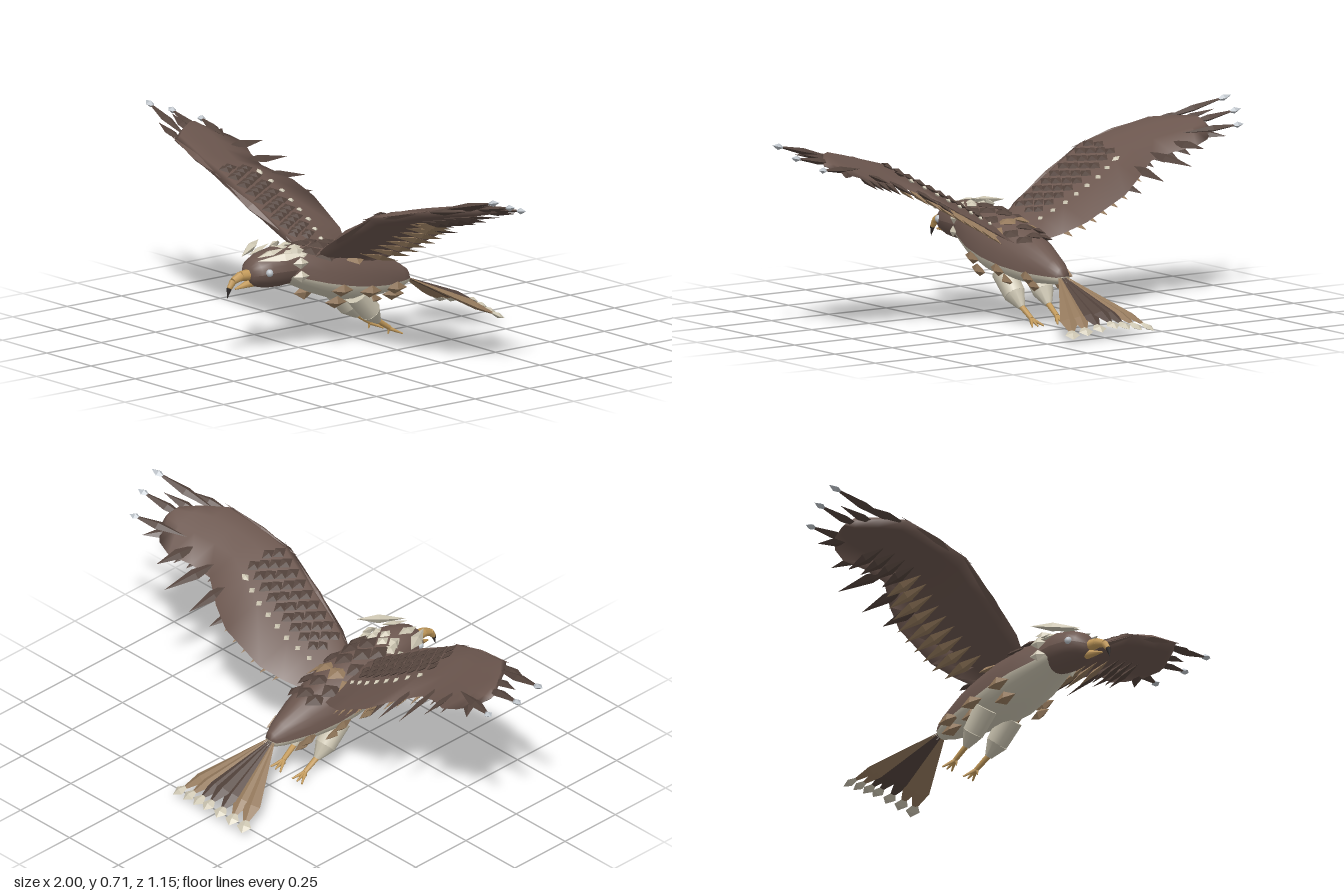
import * as THREE from 'three';

const mat = (name, color, side = THREE.FrontSide) => {
  const m = new THREE.MeshStandardMaterial({ color, side });
  m.name = name;
  return m;
};
const V = (x, y, z) => new THREE.Vector3(x, y, z);

export function createModel() {
  const root = new THREE.Group();
  root.name = 'flyingEagle';
  const brown = mat('plumageBrown', 0x6b564e, THREE.DoubleSide);
  const dark = mat('darkFeather', 0x54443d);
  const tan = mat('tanFeather', 0x94795c);
  const cream = mat('creamFeather', 0xcdc6b2, THREE.DoubleSide);
  const gold = mat('beakGold', 0xc59c5c);
  const silver = mat('silverTip', 0xbcc2c8);
  const black = mat('beakTip', 0x302b2a);

  const part = (name, parent = root) => {
    const g = new THREE.Group();
    g.name = name;
    parent.add(g);
    return g;
  };
  const add = (parent, name, geo, m) => {
    const mesh = new THREE.Mesh(geo, m);
    mesh.name = name;
    parent.add(mesh);
    return mesh;
  };

  // Smooth skin over rows of points
  function skin(rows, closed, flip) {
    const n = rows[0].length, idx = [];
    for (let i = 0; i < rows.length - 1; i++) {
      for (let j = 0; j < (closed ? n : n - 1); j++) {
        const k = (j + 1) % n;
        const a = i * n + j, b = a + n, d = i * n + k, c = d + n;
        if (flip) idx.push(a, c, d, a, b, c);
        else idx.push(a, d, c, a, c, b);
      }
    }
    const geo = new THREE.BufferGeometry().setFromPoints(rows.flat());
    geo.setIndex(idx);
    geo.computeVertexNormals();
    return geo;
  }

  // Diamond feather from a to b; w = half width, t = half thickness, n = facing
  function feather(parent, name, a, b, w, t, n, m, shift = 0) {
    const geo = new THREE.OctahedronGeometry(1);
    const p = geo.attributes.position;
    for (let i = 0; i < p.count; i++) if (Math.abs(p.getZ(i)) < 0.5) p.setZ(i, shift);
    geo.computeVertexNormals();
    const f = b.clone().sub(a), side = n.clone().cross(f).normalize();
    const up = f.clone().cross(side).normalize();
    const mx = new THREE.Matrix4().makeBasis(side.multiplyScalar(w), up.multiplyScalar(t), f.multiplyScalar(0.5));
    mx.setPosition(a.clone().add(b).multiplyScalar(0.5));
    return add(parent, name, geo.applyMatrix4(mx), m);
  }

  // Tapered limb between two points
  function limb(parent, name, a, b, r1, r2, m, sides = 7) {
    const d = b.clone().sub(a);
    const mesh = add(parent, name, new THREE.CylinderGeometry(r2, r1, d.length(), sides), m);
    mesh.position.copy(a).addScaledVector(d, 0.5);
    mesh.quaternion.setFromUnitVectors(V(0, 1, 0), d.normalize());
  }

  // Rings: z, colour line height, top, bottom, half width
  function halfShell(rings, from) {
    return skin(rings.map(([z, mid, top, bot, w]) => Array.from({ length: 11 }, (_, i) => {
      const a = from + Math.PI * i / 10, s = Math.sin(a);
      return V(w * Math.cos(a), mid + s * (s > 0 ? top - mid : mid - bot), z);
    })), false);
  }
  const bodyRings = [
    [-0.246, 0.19, 0.191, 0.189, 0.002], [-0.24, 0.188, 0.222, 0.165, 0.028], [-0.2, 0.19, 0.25, 0.157, 0.05],
    [-0.1, 0.195, 0.302, 0.15, 0.085], [0, 0.208, 0.337, 0.147, 0.108], [0.1, 0.228, 0.367, 0.16, 0.12],
    [0.2, 0.252, 0.385, 0.198, 0.115], [0.28, 0.275, 0.385, 0.236, 0.092], [0.34, 0.295, 0.38, 0.26, 0.075]];
  const headRings = [
    [0.29, 0.31, 0.375, 0.252, 0.078], [0.36, 0.315, 0.39, 0.247, 0.083], [0.42, 0.315, 0.378, 0.25, 0.076],
    [0.46, 0.31, 0.36, 0.26, 0.06], [0.482, 0.305, 0.337, 0.275, 0.036], [0.486, 0.305, 0.306, 0.304, 0.002]];
  add(root, 'back', halfShell(bodyRings, 0), brown);
  add(root, 'belly', halfShell(bodyRings, Math.PI), cream);
  add(root, 'headTop', halfShell(headRings, 0), brown);
  add(root, 'headUnderside', halfShell(headRings, Math.PI), brown);

  // Hooked beak, tapering along its curve
  const beak = part('beak');
  const hook = [[0.47, 0.305, 0.028], [0.515, 0.305, 0.023], [0.55, 0.292, 0.017], [0.568, 0.268, 0.012], [0.577, 0.233, 0.001]];
  for (let i = 0; i < 4; i++) {
    const [z, y, r] = hook[i], [z2, y2, r2] = hook[i + 1];
    limb(beak, 'upperBeak', V(0, y, z), V(0, y2, z2), r * 0.8, r2 * 0.8, i < 3 ? gold : black);
  }
  limb(beak, 'lowerBeak', V(0, 0.276, 0.465), V(0, 0.262, 0.54), 0.018, 0.003, gold);

  // Overlapping diamonds along the back and nape
  const mantle = part('backFeathers');
  const rows = [[0.33, 0.385, [0, 0.045], cream], [0.29, 0.388, [0.025, 0.065], cream], [0.24, 0.387, [0, 0.055], dark],
    [0.185, 0.384, [0.03, 0.08], dark], [0.125, 0.375, [0, 0.06], dark], [0.06, 0.36, [0.03, 0.085], tan],
    [0, 0.341, [0, 0.06], dark], [-0.065, 0.318, [0, 0.045], dark]];
  for (const [z, y, xs, m] of rows) for (const x of xs) for (const s of x ? [-1, 1] : [1]) {
    const h = y - x * x * 5.5, l = z > 0.28 ? 0.03 : 0.05;
    feather(mantle, 'backFeather', V(s * x, h, z + l), V(s * x, h - l * 0.1, z - l),
      l * 0.68, 0.011, V(s * x * 7, 1, 0), m);
  }

  // Tail fan with pale tips
  const tail = part('tail');
  for (let i = -3; i <= 3; i++) {
    const k = Math.abs(i), m = k > 1 ? tan : dark;
    const a = V(i * 0.004, 0.193, -0.23), b = V(i * 0.056, 0.052 - k * 0.008, -0.56 + k * 0.006);
    feather(tail, 'tailFeather', a, b, 0.033, 0.012, V(0, 1, 0), m, 0.5);
    feather(tail, 'tailTip', a.clone().lerp(b, 0.86), a.clone().lerp(b, 1.05), 0.027, 0.01, V(0, 1, 0), cream, 0.25);
  }

  // Wing stations: x, leading edge z y, trailing edge z y
  const stations = [
    [0.04, 0.2, 0.33, -0.02, 0.28], [0.12, 0.235, 0.385, -0.065, 0.31], [0.2, 0.25, 0.43, -0.105, 0.35],
    [0.36, 0.275, 0.52, -0.115, 0.435], [0.44, 0.287, 0.562, -0.085, 0.485], [0.54, 0.275, 0.588, -0.02, 0.53],
    [0.62, 0.262, 0.61, -0.035, 0.555], [0.7, 0.25, 0.63, -0.07, 0.575], [0.76, 0.18, 0.637, -0.055, 0.592],
    [0.81, 0.1, 0.64, -0.01, 0.61], [0.832, 0.06, 0.632, 0.045, 0.625]];
  // Point on the wing: u runs from leading to trailing edge, h is height off its middle
  function wingAt(s, x, u, h) {
    let i = 0;
    while (i < stations.length - 2 && stations[i + 1][0] < x) i++;
    const a = stations[i], b = stations[i + 1], t = (x - a[0]) / (b[0] - a[0]);
    const [lz, ly, tz, ty] = [1, 2, 3, 4].map(k => a[k] + (b[k] - a[k]) * t);
    return V(s * x, ly + (ty - ly) * u + h, lz + (tz - lz) * u);
  }
  const section = [[1, 0], [0.6, 0.013], [0.3, 0.022], [0.08, 0.018], [0, 0], [0.12, -0.018], [0.35, -0.008], [0.7, -0.008]];

  for (const s of [1, -1]) {
    const side = s > 0 ? 'left' : 'right';
    const P = (x, y, z) => V(s * x, y, z);
    const up = P(-0.5, 1, 0);
    const wing = part(side + 'Wing');
    const shell = stations.map(([x], i) => section.map(([u, h]) =>
      wingAt(s, x, u, i === stations.length - 1 ? 0 : h)));
    add(wing, 'wingSurface', skin(shell, true, s < 0), brown);
    feather(wing, 'innerWingEdge', P(0.07, 0.36, 0.21), P(0.47, 0.575, 0.285), 0.018, 0.016, up, brown);
    feather(wing, 'outerWingEdge', P(0.4, 0.552, 0.28), P(0.73, 0.64, 0.24), 0.016, 0.014, up, brown);

    // Rows of small feathers on the upper side
    for (let r = 0; r < 4; r++) for (let i = 0; i < 9; i++) {
      const x = 0.11 + i * 0.041 + (r % 2) * 0.02, u = 0.07 + r * 0.1;
      feather(wing, 'covert', wingAt(s, x, u, 0.019), wingAt(s, x, u + 0.18, 0.026), 0.022, 0.009, up, dark);
    }
    for (let i = 0; i < 8; i++) {
      const x = 0.11 + i * 0.048;
      feather(wing, 'paleSpot', wingAt(s, x, 0.56, 0.018), wingAt(s, x, 0.64, 0.018),
        i === 7 ? 0.018 : 0.011, 0.008, up, cream);
    }
    // Tan feathers under the rear of the wing
    for (let i = 0; i < 13; i++) {
      const x = 0.14 + i * 0.044;
      feather(wing, 'underFeather', wingAt(s, x, 0.5, -0.01), wingAt(s, x + 0.015, 1, -0.028), 0.022, 0.011, up, i < 9 ? tan : dark);
    }
    // Pointed feathers behind the wing
    const spikes = [[0.38, 0.41, 0.44, -0.15], [0.47, 0.485, 0.48, -0.18], [0.56, 0.6, 0.525, -0.19],
      [0.66, 0.685, 0.575, -0.145], [0.75, 0.83, 0.6, -0.075]];
    for (const [x, tx, y, z] of spikes) {
      feather(wing, 'flightSpike', wingAt(s, x, 0.65, 0), P(tx, y, z), 0.022, 0.009, up, dark);
    }
    // Long fingers at the wing tip, three of them with silver ends
    const fingers = [[0.7, 0.63, 0.19, 1, 0.706, 0.138, 1], [0.72, 0.62, 0.09, 0.98, 0.67, 0.05, 1],
      [0.7, 0.61, 0.02, 0.925, 0.632, -0.045, 1], [0.68, 0.625, 0.23, 0.87, 0.655, 0.185, 0], [0.72, 0.625, 0.14, 0.9, 0.67, 0.1, 0]];
    for (const [x, y, z, tx, ty, tz, tipped] of fingers) {
      const a = P(x, y, z), b = P(tx, ty, tz);
      feather(wing, 'wingFinger', a, b, 0.022, 0.012, up, dark);
      if (tipped) feather(wing, 'fingerTip', a.clone().lerp(b, 0.8), b, 0.016, 0.012, up, silver);
    }

    // Brow plume, cheek feathers and eye
    const face = part(side + 'Face');
    feather(face, 'browPlume', P(0.045, 0.362, 0.475), P(0.14, 0.385, 0.32), 0.024, 0.016, P(0.5, 1, 0), cream, 0.1);
    feather(face, 'crownFeather', P(0.025, 0.368, 0.46), P(0.045, 0.392, 0.35), 0.02, 0.009, P(0.2, 1, 0), cream);
    for (const [y, x] of [[0.29, 0.088], [0.338, 0.085], [0.38, 0.058]]) {
      feather(face, 'cheekFeather', P(x - 0.004, y, 0.34), P(x + 0.012, y, 0.28), 0.022, 0.012, P(1, y > 0.36 ? 1 : 0, 0), cream);
    }
    const eye = add(face, 'eye', new THREE.SphereGeometry(0.014, 10, 8), silver);
    eye.position.copy(P(0.066, 0.317, 0.436));

    // Diamonds along the flank
    const flank = part(side + 'Flank');
    for (const [x, y, z] of [[0.12, 0.22, 0.15], [0.088, 0.172, 0.155], [0.108, 0.193, 0.01],
      [0.085, 0.157, -0.01], [0.078, 0.18, -0.13], [0.055, 0.152, -0.135]]) {
      feather(flank, 'flankFeather', P(x, y + 0.004, z + 0.045), P(x + 0.008, y - 0.004, z - 0.05), 0.025, 0.016, P(1, -0.3, 0), tan);
    }

    // Feathered thigh, shank and toes
    const leg = part(side + 'Leg');
    limb(leg, 'thigh', P(0.065, 0.18, 0.035), P(0.062, 0.105, -0.03), 0.045, 0.04, cream, 10);
    limb(leg, 'lowerThigh', P(0.062, 0.105, -0.03), P(0.058, 0.062, -0.069), 0.04, 0.013, cream, 10);
    limb(leg, 'shank', P(0.058, 0.067, -0.064), P(0.055, 0.028, -0.125), 0.011, 0.009, gold);
    for (const dx of [-0.025, 0, 0.025]) {
      limb(leg, 'toe', P(0.055, 0.028, -0.122), P(0.055 + dx, 0.006, -0.165), 0.008, 0.003, gold, 6);
    }
    limb(leg, 'hindToe', P(0.055, 0.03, -0.122), P(0.055, 0.007, -0.118), 0.007, 0.002, gold, 6);
  }
  return root;
}
